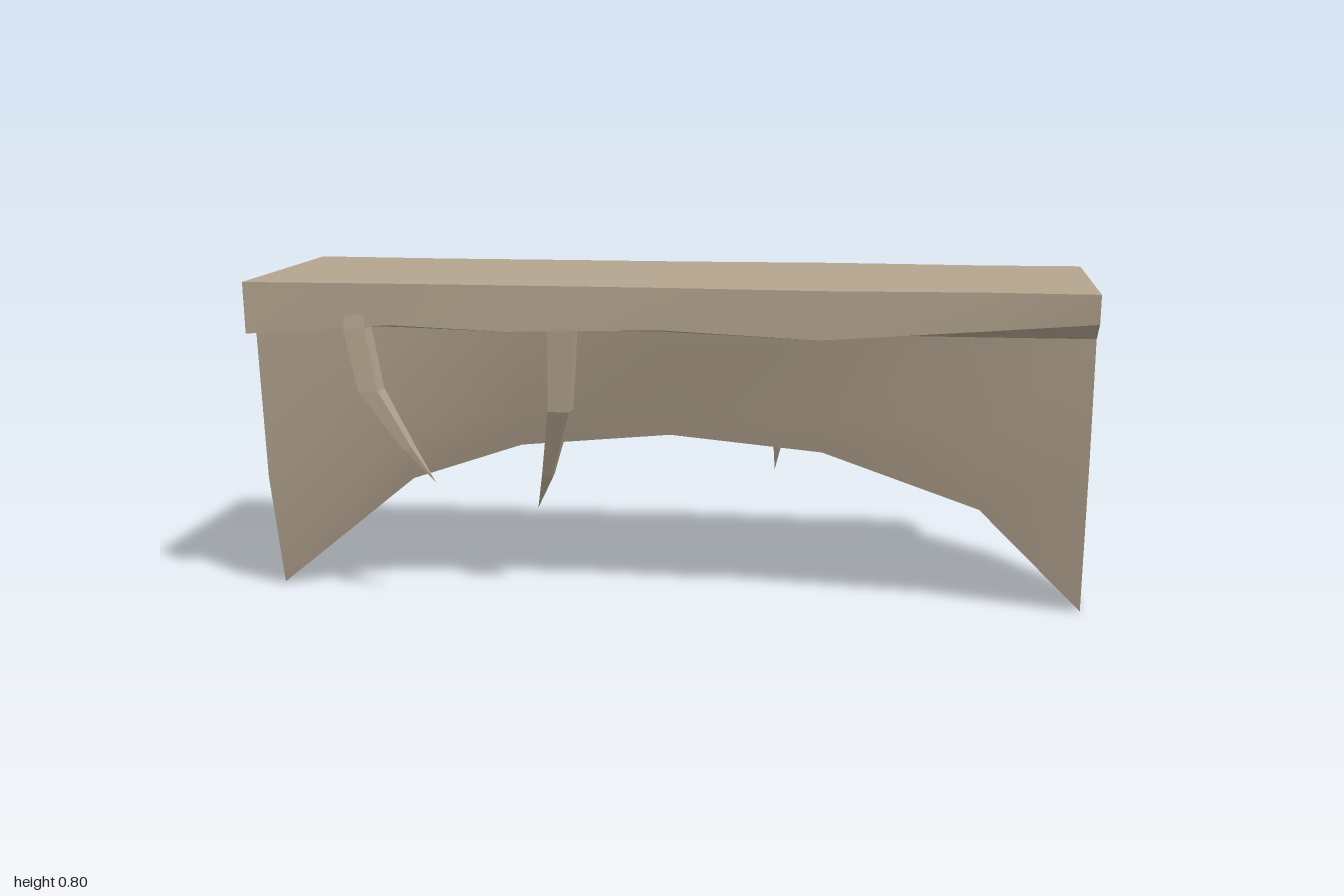
import * as THREE from 'three';

const stone = new THREE.MeshStandardMaterial({ color: 0xb4a48f, side: THREE.DoubleSide });
stone.name = 'stone';

// Stations along the span; every rail gives y and z at each station
const X = [-1, -0.65, -0.37, 0, 0.37, 0.75, 1];
const rail = (ys, zs) => X.map((x, i) => [x, Array.isArray(ys) ? ys[i] : ys, zs[i]]);

const archY = [0.005, 0.29, 0.385, 0.42, 0.385, 0.25, 0];
const deckFront = rail(0.8, [0.32, 0.31, 0.31, 0.312, 0.33, 0.31, 0.32]);
const deckBack = rail(0.8, [-0.3, -0.286, -0.29, -0.29, -0.306, -0.29, -0.3]);
const skirtFront = rail([0.675, 0.7, 0.69, 0.7, 0.685, 0.71, 0.73], [0.31, 0.3, 0.305, 0.305, 0.32, 0.3, 0.305]);
const skirtBack = rail([0.69, 0.7, 0.695, 0.7, 0.69, 0.7, 0.7], [-0.285, -0.28, -0.28, -0.28, -0.295, -0.28, -0.28]);
const wallTopFront = rail(0.688, [0.24, 0.24, 0.24, 0.24, 0.24, 0.24, 0.236]);
const wallTopBack = rail(0.688, [-0.21, -0.215, -0.22, -0.22, -0.22, -0.215, -0.205]);
const wallMidFront = rail([0.3, 0.42, 0.48, 0.51, 0.49, 0.44, 0.39], [0.193, 0.18, 0.172, 0.17, 0.172, 0.18, 0.19]);
const wallMidBack = rail([0.42, 0.45, 0.49, 0.515, 0.49, 0.435, 0.362], [-0.18, -0.185, -0.185, -0.18, -0.185, -0.19, -0.225]);
const archFront = rail(archY, [0.1, 0.12, 0.13, 0.135, 0.132, 0.115, 0.1]);
const archBack = rail(archY, [-0.11, -0.11, -0.09, -0.057, -0.095, -0.11, -0.12]);

// Smooth surface through consecutive rows of points
function loft(name, rows, closed = false) {
  const n = rows[0].length, index = [];
  for (let j = 0; j < rows.length - 1; j++) {
    for (let i = 0; i < (closed ? n : n - 1); i++) {
      const a = j * n + i, c = j * n + (i + 1) % n;
      index.push(a, a + n, c, c, a + n, c + n);
    }
  }
  const g = new THREE.BufferGeometry();
  g.setAttribute('position', new THREE.Float32BufferAttribute(rows.flat(2), 3));
  g.setIndex(index);
  g.computeVertexNormals();
  const mesh = new THREE.Mesh(g, stone);
  mesh.name = name;
  return mesh;
}

// Hanging claw: tapering four-sided rings [x, y, z, half width x, half width z]
function claw(name, rings) {
  const rows = rings.map(([x, y, z, w, d]) =>
    [[-1, 1], [1, 1], [1, -1], [-1, -1]].map(([sx, sz]) => [x + sx * w, y, z + sz * d]));
  const mesh = loft(name, rows, true);
  mesh.geometry = mesh.geometry.toNonIndexed();
  mesh.geometry.computeVertexNormals();
  return mesh;
}

export function createModel() {
  const model = new THREE.Group();
  model.name = 'archedBridge';

  // Open-ended shell: deck, skirts, ledges, walls and arch underside
  model.add(
    loft('deck', [deckBack, deckFront]),
    loft('frontSkirt', [deckFront, skirtFront]),
    loft('frontLedge', [skirtFront, wallTopFront]),
    loft('frontWall', [wallTopFront, wallMidFront, archFront]),
    loft('archUnderside', [archFront, archBack]),
    loft('backWall', [archBack, wallMidBack, wallTopBack]),
    loft('backLedge', [wallTopBack, skirtBack]),
    loft('backSkirt', [skirtBack, deckBack]),
  );

  // Curved claws hanging below the skirts
  model.add(
    claw('frontRightClaw', [
      [-0.735, 0.76, 0.275, 0, 0], [-0.735, 0.73, 0.275, 0.025, 0.03], [-0.735, 0.69, 0.277, 0.026, 0.03],
      [-0.705, 0.54, 0.276, 0.024, 0.028], [-0.615, 0.4, 0.277, 0.012, 0.016], [-0.55, 0.315, 0.277, 0, 0]]),
    claw('frontMiddleClaw', [
      [-0.24, 0.76, 0.265, 0, 0], [-0.24, 0.73, 0.263, 0.03, 0.03], [-0.24, 0.69, 0.255, 0.032, 0.03],
      [-0.255, 0.49, 0.22, 0.026, 0.027], [-0.305, 0.31, 0.13, 0.013, 0.015], [-0.345, 0.21, 0.063, 0, 0]]),
    claw('backClaw', [
      [0.26, 0.76, -0.241, 0, 0], [0.26, 0.73, -0.242, 0.03, 0.033], [0.26, 0.69, -0.25, 0.032, 0.031],
      [0.25, 0.5, -0.261, 0.026, 0.026], [0.232, 0.335, -0.298, 0.013, 0.013], [0.22, 0.24, -0.333, 0, 0]]),
  );
  return model;
}
